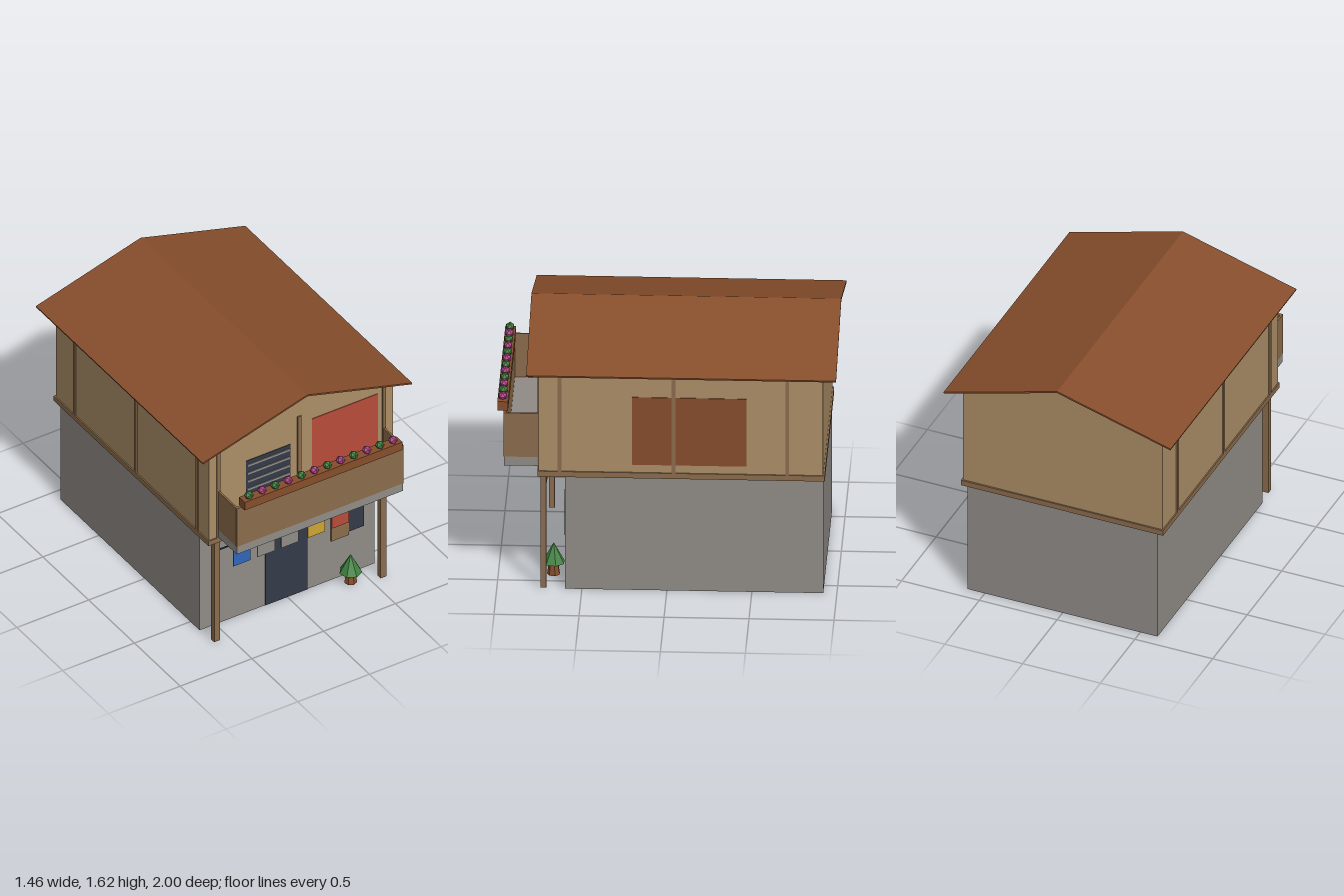
import * as THREE from 'three';

const colours = {
  roofBrown: 0x874e2c, wallTan: 0xac8e67, timber: 0x8b6c4c, stone: 0x918c87, darkSlate: 0x343b48,
  red: 0xb94c3a, blue: 0x3067bd, yellow: 0xcfa633, leafGreen: 0x418241, blossomPink: 0xb54489,
};

export function createModel() {
  const house = new THREE.Group();
  house.name = 'balconyHouse';
  const mats = {};
  for (const [name, color] of Object.entries(colours)) {
    mats[name] = new THREE.MeshStandardMaterial({ color });
    mats[name].name = name;
  }

  const add = (name, geometry, mat, x = 0, y = 0, z = 0) => {
    const mesh = new THREE.Mesh(geometry, mats[mat]);
    mesh.name = name;
    mesh.position.set(x, y, z);
    house.add(mesh);
    return mesh;
  };
  // Box given by its lower and upper limits on each axis
  const box = (name, mat, x0, x1, y0, y1, z0, z1) =>
    add(name, new THREE.BoxGeometry(x1 - x0, y1 - y0, z1 - z0), mat,
      (x0 + x1) / 2, (y0 + y1) / 2, (z0 + z1) / 2);
  // Outline in x and y, extruded from z0 to z1
  const prism = (name, mat, points, z0, z1) => {
    const shape = new THREE.Shape(points.map(([x, y]) => new THREE.Vector2(x, y)));
    add(name, new THREE.ExtrudeGeometry(shape, { depth: z1 - z0, bevelEnabled: false }), mat, 0, 0, z0);
  };
  const faceted = (geometry) => {
    const flat = geometry.index ? geometry.toNonIndexed() : geometry;
    flat.computeVertexNormals();
    return flat;
  };

  // Main volumes
  box('groundFloor', 'stone', -0.61, 0.61, 0, 0.735, -0.92, 0.6);
  box('floorBand', 'timber', -0.65, 0.65, 0.735, 0.77, -0.93, 0.76);
  prism('upperFloor', 'wallTan',
    [[-0.642, 0.77], [0.642, 0.77], [0.642, 1.432], [0, 1.612], [-0.642, 1.432]], -0.92, 0.753);
  prism('roof', 'roofBrown',
    [[-0.728, 1.408], [0, 1.614], [0.728, 1.408], [0.73, 1.418], [0, 1.625], [-0.73, 1.418]], -1, 0.823);

  // Timber framing on the upper floor, and posts carrying the overhang
  for (const [x, w] of [[-0.58, 0.011], [-0.015, 0.013], [0.577, 0.011]])
    box('frontStud', 'timber', x - w, x + w, 0.77, 1.432, 0.75, 0.762);
  for (const side of [-1, 1]) {
    for (const z of [0.63, -0.04, -0.71])
      box('sideStud', 'timber', side * 0.641 - 0.009, side * 0.641 + 0.009, 0.77, 1.425, z - 0.011, z + 0.011);
    box('supportPost', 'timber', side * 0.58 - 0.02, side * 0.58 + 0.02, 0, 0.735, 0.71, 0.745);
  }

  // Upper openings
  box('sideShutter', 'roofBrown', 0.64, 0.646, 0.82, 1.253, -0.47, 0.205);
  box('redDoor', 'red', 0.075, 0.533, 0.83, 1.375, 0.75, 0.757);
  box('upperWindow', 'darkSlate', -0.385, -0.075, 0.93, 1.25, 0.75, 0.757);
  for (let i = 0; i < 5; i++) {
    const y = 1.215 - i * 0.058;
    box('windowSlat', 'stone', -0.38, -0.08, y - 0.007, y + 0.007, 0.755, 0.762);
  }

  // Balcony
  box('balconySlab', 'stone', -0.58, 0.58, 0.773, 0.83, 0.75, 0.96);
  box('balconyFront', 'timber', -0.58, 0.58, 0.83, 1.11, 0.945, 0.963);
  for (const side of [-1, 1])
    box('balconySide', 'timber', side * 0.576 - 0.006, side * 0.576 + 0.006, 0.83, 1.11, 0.753, 0.955);

  // Planter with alternating bushes and blossoms
  box('planter', 'roofBrown', -0.55, 0.55, 1.11, 1.168, 0.937, 1);
  const bloom = faceted(new THREE.IcosahedronGeometry(0.028, 0));
  for (let i = 0; i < 12; i++)
    add(i % 2 ? 'blossom' : 'bush', bloom, i % 2 ? 'blossomPink' : 'leafGreen', -0.503 + i * 0.0913, 1.185, 0.97);

  // Ground floor openings
  box('door', 'darkSlate', -0.155, 0.137, 0.003, 0.643, 0.599, 0.607);
  box('lowerWindow', 'darkSlate', 0.31, 0.533, 0.31, 0.522, 0.599, 0.606);
  box('openShutter', 'timber', 0.303, 0.425, 0.29, 0.533, 0.602, 0.611);

  // Washing line
  box('clothesLine', 'darkSlate', -0.562, 0.562, 0.648, 0.656, 0.724, 0.731);
  const cloths = [[-0.397, 'blue'], [-0.229, 'stone'], [-0.063, 'stone'], [0.122, 'yellow'], [0.29, 'red']];
  for (const [x, mat] of cloths)
    box('cloth', mat, x - 0.06, x + 0.06, 0.49, 0.65, 0.724, 0.731);

  // Small potted tree
  add('treeTrunk', faceted(new THREE.CylinderGeometry(0.026, 0.039, 0.09, 7)), 'roofBrown', 0.395, 0.045, 0.675);
  add('treeCrown', faceted(new THREE.ConeGeometry(0.069, 0.125, 7)), 'leafGreen', 0.395, 0.138, 0.675);

  return house;
}
